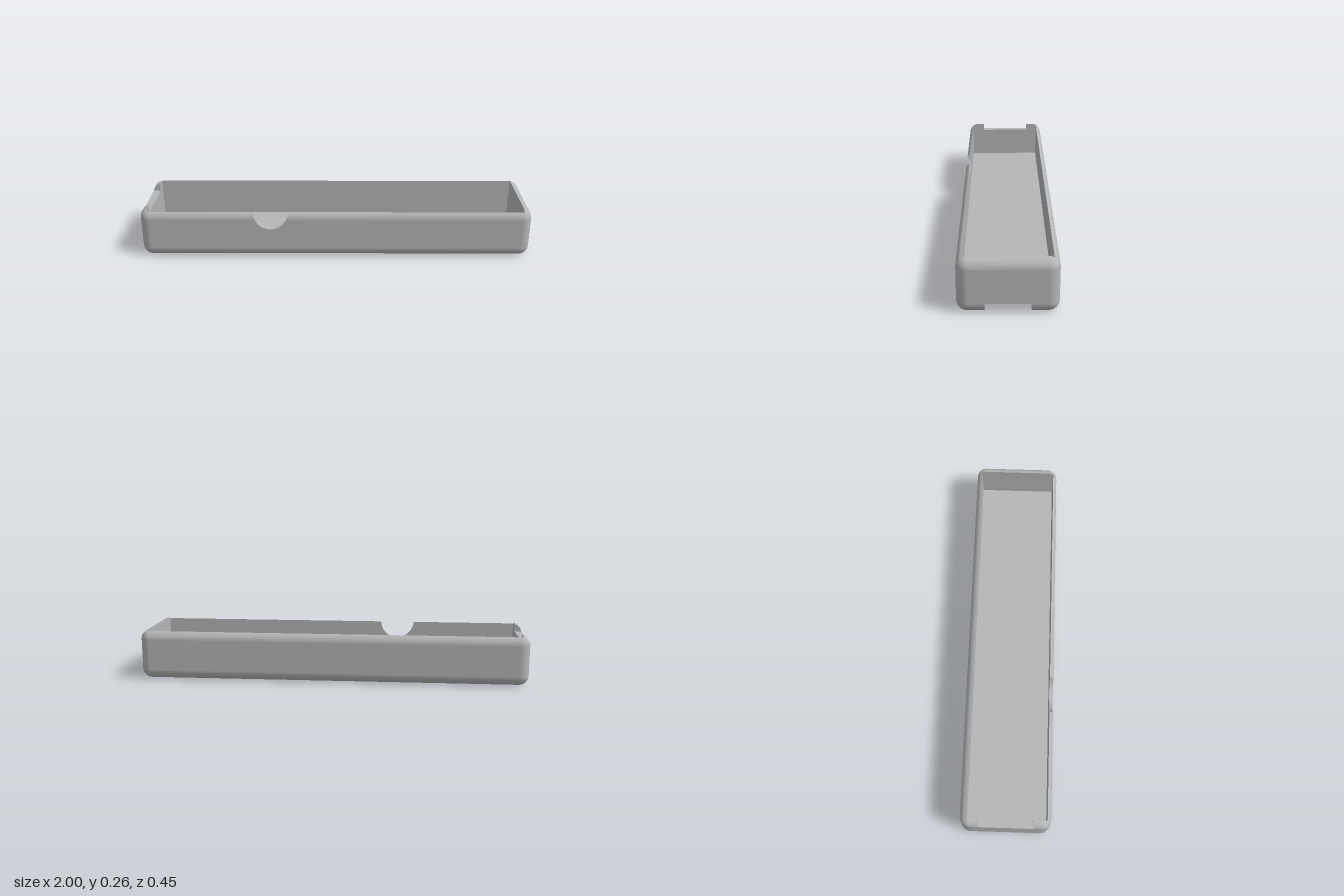
import * as THREE from 'three';
import { RoundedBoxGeometry } from 'three/addons/geometries/RoundedBoxGeometry.js';

const EPS = 1e-6;

// Triangles of a geometry as lists of { p, n } corners
function polygonsOf(geometry) {
  const g = geometry.index ? geometry.toNonIndexed() : geometry;
  const { position, normal } = g.attributes;
  const polys = [];
  for (let i = 0; i < position.count; i += 3) {
    polys.push([0, 1, 2].map((k) => ({
      p: new THREE.Vector3().fromBufferAttribute(position, i + k),
      n: new THREE.Vector3().fromBufferAttribute(normal, i + k),
    })));
  }
  return polys;
}

// Distinct outward planes of a convex solid
function planesOf(polys) {
  const found = new Map();
  for (const [a, b, c] of polys) {
    const cross = b.p.clone().sub(a.p).cross(c.p.clone().sub(a.p));
    if (cross.length() < 1e-10) continue;
    const plane = new THREE.Plane().setFromNormalAndCoplanarPoint(cross.normalize(), a.p);
    const key = [...plane.normal.toArray(), plane.constant].map((v) => Math.round(v * 1e4)).join();
    if (!found.has(key)) found.set(key, plane);
  }
  return [...found.values()];
}

// Cut a polygon by a plane into its inner and outer pieces
function split(poly, plane) {
  const d = poly.map((v) => plane.distanceToPoint(v.p));
  if (d.every((x) => x <= EPS)) return [poly, null];
  if (d.every((x) => x >= -EPS)) return [null, poly];
  const inner = [], outer = [];
  poly.forEach((v, i) => {
    const j = (i + 1) % poly.length, w = poly[j];
    if (d[i] <= EPS) inner.push(v);
    if (d[i] >= -EPS) outer.push(v);
    if ((d[i] > EPS && d[j] < -EPS) || (d[i] < -EPS && d[j] > EPS)) {
      const t = d[i] / (d[i] - d[j]);
      const m = { p: v.p.clone().lerp(w.p, t), n: v.n.clone().lerp(w.n, t).normalize() };
      inner.push(m);
      outer.push(m);
    }
  });
  return [inner.length > 2 ? inner : null, outer.length > 2 ? outer : null];
}

function clipInside(poly, planes) {
  for (const plane of planes) {
    poly = split(poly, plane)[0];
    if (!poly) return [];
  }
  return [poly];
}

function cutAway(poly, planes) {
  if (planes.some((pl) => poly.every((v) => pl.distanceToPoint(v.p) >= -EPS))) return [poly];
  const kept = [];
  for (const plane of planes) {
    const [inner, outer] = split(poly, plane);
    if (outer) kept.push(outer);
    if (!inner) break;
    poly = inner;
  }
  return kept;
}

function toGeometry(polys) {
  const pos = [], nor = [];
  for (const poly of polys) {
    for (let i = 1; i < poly.length - 1; i++) {
      for (const v of [poly[0], poly[i], poly[i + 1]]) {
        pos.push(v.p.x, v.p.y, v.p.z);
        nor.push(v.n.x, v.n.y, v.n.z);
      }
    }
  }
  const g = new THREE.BufferGeometry();
  g.setAttribute('position', new THREE.Float32BufferAttribute(pos, 3));
  g.setAttribute('normal', new THREE.Float32BufferAttribute(nor, 3));
  return g;
}

function boxBetween(x0, x1, y0, y1, z0, z1) {
  return new THREE.BoxGeometry(x1 - x0, y1 - y0, z1 - z0)
    .translate((x0 + x1) / 2, (y0 + y1) / 2, (z0 + z1) / 2);
}

export function createModel() {
  const group = new THREE.Group();
  group.name = 'tray';
  const grey = new THREE.MeshStandardMaterial({ color: 0xb6b6b6 });
  grey.name = 'grey';

  // Rounded block
  const height = 0.256;
  const block = polygonsOf(new RoundedBoxGeometry(2, height, 0.446, 5, 0.05).translate(0, height / 2, 0));
  const blockPlanes = planesOf(block);

  // Hollows taken out of the block
  const hollows = [
    ['trayInterior', boxBetween(-0.962, 0.958, 0.058, 0.5, -0.196, 0.204)],
    ['undersideChannel', boxBetween(-1.5, 1.5, -0.2, 0.051, -0.102, 0.1)],
    ['endNotch', boxBetween(-1.2, -0.9, 0.215, 0.5, -0.137, 0.137)],
    ['thumbCutout', new THREE.CylinderGeometry(0.09, 0.09, 0.2, 40)
      .rotateX(Math.PI / 2).translate(-0.33, 0.246, 0.2)],
  ].map(([name, geometry]) => {
    const polys = polygonsOf(geometry);
    return { name, polys, planes: planesOf(polys) };
  });

  const withoutHollows = (polys, skip) => hollows
    .filter((h) => h !== skip)
    .reduce((list, h) => list.flatMap((p) => cutAway(p, h.planes)), polys);

  const add = (name, polys) => {
    const mesh = new THREE.Mesh(toGeometry(polys), grey);
    mesh.name = name;
    group.add(mesh);
  };

  // Outer skin
  add('outerShell', withoutHollows(block, null));

  // Walls of each hollow, facing inward
  for (const h of hollows) {
    const walls = h.polys
      .flatMap((p) => clipInside(p, blockPlanes))
      .map((p) => p.map((v) => ({ p: v.p, n: v.n.clone().negate() })).reverse());
    add(h.name, withoutHollows(walls, h));
  }
  return group;
}
